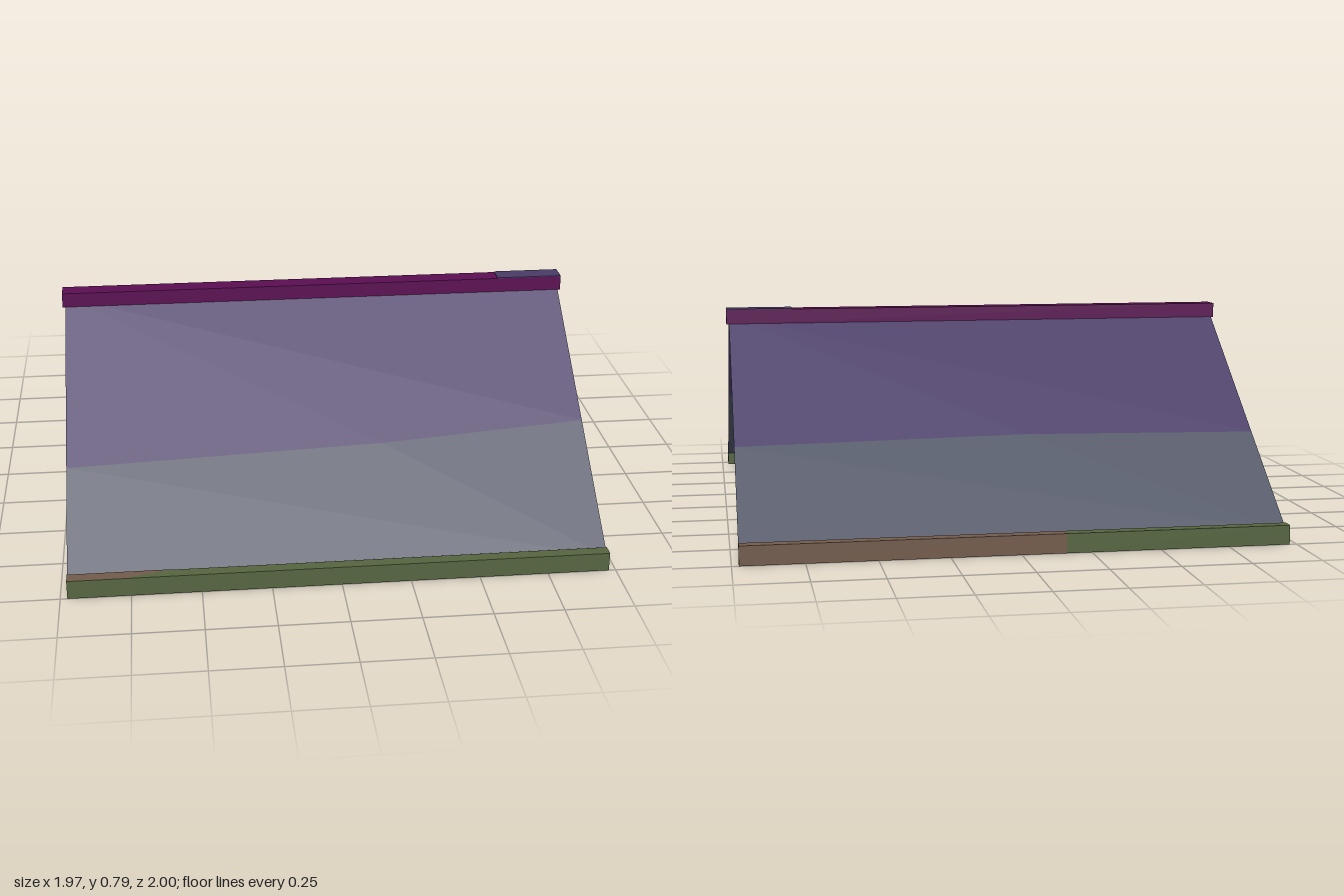
import * as THREE from 'three';

const mat = (name, color, side = THREE.FrontSide) => {
  const m = new THREE.MeshStandardMaterial({ color, side });
  m.name = name;
  return m;
};

export function createModel() {
  const model = new THREE.Group();
  model.name = 'gableRoof';

  const purple = mat('deep purple', 0x483a66, THREE.DoubleSide);
  const slate = mat('slate', 0x4d5263, THREE.DoubleSide);
  const magenta = mat('dark magenta', 0x5a0e52);
  const green = mat('moss green', 0x556440);
  const brown = mat('brown', 0x715a4b);
  const lavender = mat('lavender grey', 0x877e9b);
  const sage = mat('sage', 0x91a496);

  const add = (name, geometry, material, parent = model) => {
    const mesh = new THREE.Mesh(geometry, material);
    mesh.name = name;
    parent.add(mesh);
    return mesh;
  };
  const shapeOf = (pts) => new THREE.Shape(pts.map(([a, b]) => new THREE.Vector2(a, b)));

  // Box given by its min and max on each axis
  const block = (name, material, [x0, x1], [y0, y1], [z0, z1], parent) => {
    const mesh = add(name, new THREE.BoxGeometry(x1 - x0, y1 - y0, z1 - z0), material, parent);
    mesh.position.set((x0 + x1) / 2, (y0 + y1) / 2, (z0 + z1) / 2);
  };

  // Thin roof sheets: [x, z] outlines laid on the slopes
  const EAVE_Z = 0.97, W = 0.975;
  const slopeY = (z) => 0.76 - 0.744 * Math.abs(z);
  const sheet = (name, material, pts) => {
    const geo = new THREE.ShapeGeometry(shapeOf(pts.map(([x, z]) => [x, -z])));
    const p = geo.attributes.position;
    for (let i = 0; i < p.count; i++) {
      const z = -p.getY(i);
      p.setXYZ(i, p.getX(i), slopeY(z), z);
    }
    geo.computeVertexNormals();
    add(name, geo, material);
  };
  const slopes = {
    front: [1, [[-W, 0.6], [0.2, 0.563], [W, 0.515]]],
    back: [-1, [[-W, -0.565], [-0.1, -0.55], [W, -0.57]]],
  };
  for (const [name, [s, seam]] of Object.entries(slopes)) {
    sheet(name + 'UpperRoof', purple, [[-W, 0], ...seam, [W, 0]]);
    sheet(name + 'LowerRoof', slate, [[-W, s * EAVE_Z], ...seam, [W, s * EAVE_Z]]);
  }

  // Ridge beam, with a purple strip on top at one end
  block('ridgeBeam', magenta, [-0.985, 0.985], [0.73, 0.787], [-0.038, 0.038]);
  block('ridgeTopStrip', purple, [0.73, 0.985], [0.787, 0.79], [-0.038, 0.038]);

  // Eave beams
  block('frontEaveBeam', green, [-W, W], [0, 0.07], [0.955, 1]);
  block('backEaveBeamLeft', brown, [-0.16, W], [0, 0.07], [-1, -0.955]);
  block('backEaveBeamRight', green, [-W, -0.16], [0, 0.07], [-1, -0.955]);
  const patch = add('frontEaveBrownTop', new THREE.ShapeGeometry(
    shapeOf([[-W, -1], [-0.77, -1], [-0.6, -0.955], [-W, -0.955]])), brown);
  patch.rotation.x = -Math.PI / 2;
  patch.position.y = 0.0715;

  // Gable walls: [z, y] bands extruded along x
  const APEX = 0.725, BASE = 0.09, HALF = 0.835;
  const edgeZ = (y) => (APEX - y) * HALF / (APEX - BASE);
  const band = (name, material, pts, parent) => {
    const geo = new THREE.ExtrudeGeometry(shapeOf(pts.map(([z, y]) => [-z, y])),
      { depth: 0.05, bevelEnabled: false });
    geo.translate(0, 0, -0.025);
    geo.rotateY(Math.PI / 2);
    add(name, geo, material, parent);
  };
  const gable = (name, x, upper, lower, topMaterial, backPost) => {
    const g = new THREE.Group();
    g.name = name;
    g.position.x = x;
    model.add(g);
    // Seams run from the +z slope edge to the -z slope edge
    const onEdge = (seam) => seam.map(([z, y], i) =>
      i === 0 ? [edgeZ(y), y] : i === seam.length - 1 ? [-edgeZ(y), y] : [z, y]);
    const up = onEdge(upper), low = onEdge(lower);
    band('gableTop', topMaterial, [[0, APEX], ...up], g);
    band('gableMiddle', lavender, [...up, ...[...low].reverse()], g);
    band('gableBottom', sage, [...low, [-HALF, BASE], [HALF, BASE]], g);

    // Timber frame showing on both faces
    const t = [-0.035, 0.035];
    block('centrePostLower', brown, t, [BASE, 0.555], [-0.015, 0.015], g);
    block('centrePostUpper', magenta, t, [0.555, 0.74], [-0.015, 0.015], g);
    block('frontPost', brown, t, [BASE, 0.437], [0.365, 0.391], g);
    block('backPost', backPost, t, [BASE, 0.437], [-0.391, -0.365], g);
    block('crossBar', brown, [-0.037, 0.037], [0.366, 0.392], [-0.455, 0.455], g);
  };
  gable('leftGable', 0.835,
    [[0, 0.513], [0, 0.56], [0, 0.592]],
    [[0, 0.287], [0.2, 0.335], [0.14, 0.358], [-0.16, 0.395], [-0.22, 0.425], [0, 0.443]],
    purple, green);
  gable('rightGable', -0.835,
    [[0, 0.565], [0, 0.55], [0, 0.535]],
    [[0, 0.34], [0.1, 0.375], [0, 0.4]],
    magenta, brown);

  return model;
}
